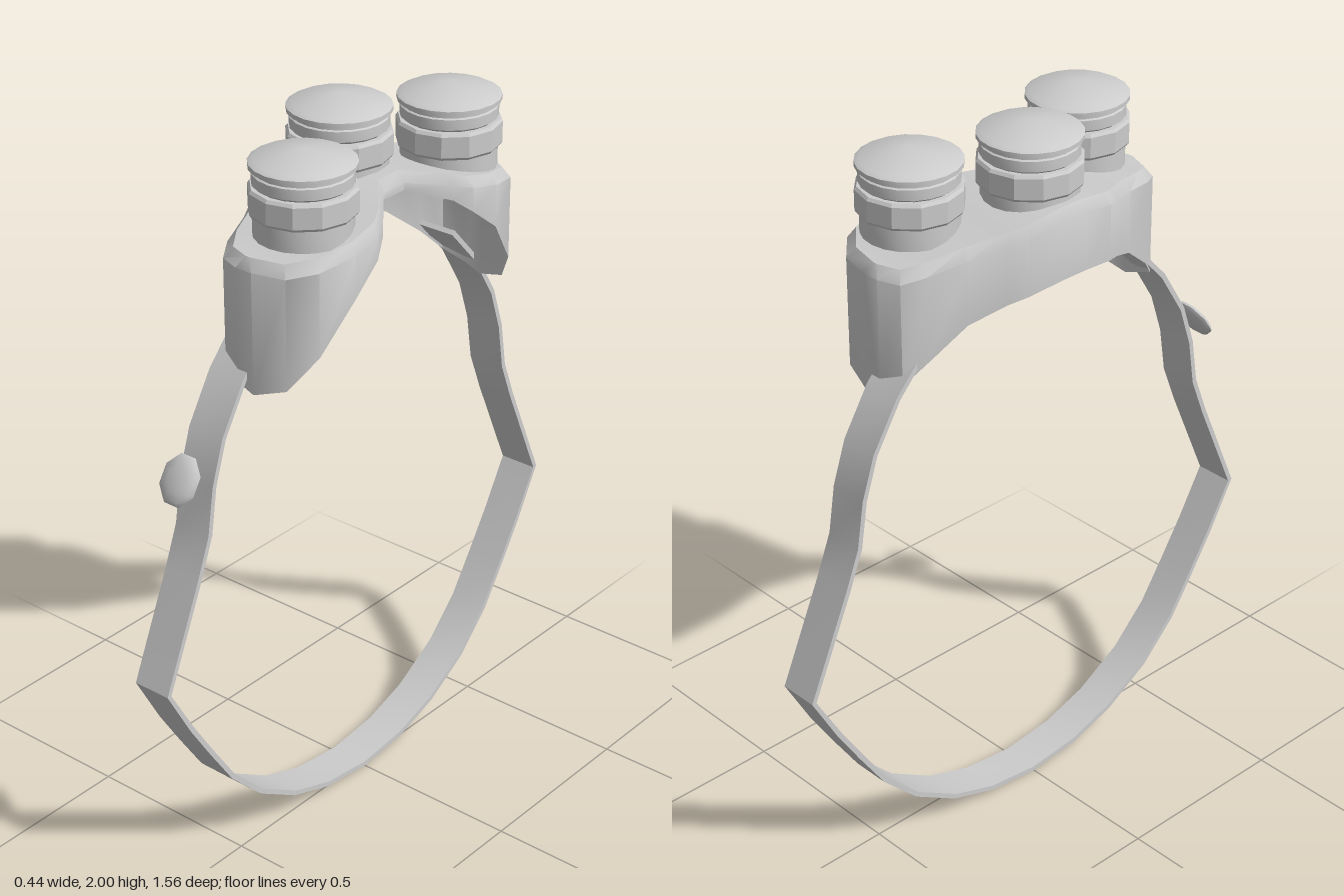
import * as THREE from 'three';
import { toCreasedNormals } from 'three/addons/utils/BufferGeometryUtils.js';

const grey = new THREE.MeshStandardMaterial({ color: 0xcccccc, side: THREE.DoubleSide });
grey.name = 'light grey';

function part(name, geometry, crease = 0.6) {
  const mesh = new THREE.Mesh(toCreasedNormals(geometry, crease), grey);
  mesh.name = name;
  return mesh;
}

// Hollow housing, open below: cross-sections lofted along z
function housing() {
  // z, back x, face x, back lower edge, face lower edge, shoulder height
  const half = [
    [0.457, -0.01, 0.04, 1.39, 1.37, 1.70],
    [0.435, -0.07, 0.13, 1.42, 1.40, 1.70],
    [0.38, -0.105, 0.19, 1.48, 1.49, 1.715],
    [0.28, -0.14, 0.22, 1.56, 1.62, 1.735],
    [0.19, -0.185, 0.215, 1.60, 1.69, 1.755],
    [0.14, -0.21, 0.19, 1.615, 1.73, 1.77],
    [0.04, -0.225, 0.11, 1.63, 1.77, 1.79],
  ];
  const stations = [...half.map(([z, ...r]) => [-z, ...r]), ...half.slice().reverse()];
  const sections = stations.map(([z, xl, xr, yl, yr, y]) => [
    [xl, yl, z], [xl, y, z], [xl + 0.018, y + 0.03, z * 0.96],
    [xr - 0.018, y + 0.03, z * 0.96], [xr, y, z], [xr, yr, z],
  ]);
  const pos = [];
  const quad = (a, b, c, d) => pos.push(...a, ...b, ...c, ...a, ...c, ...d);
  for (let i = 0; i < sections.length - 1; i++) {
    const s = sections[i], t = sections[i + 1];
    for (let j = 0; j < 5; j++) quad(s[j], t[j], t[j + 1], s[j + 1]);
  }
  const s = sections[0], e = sections[sections.length - 1];
  quad(s[0], s[1], s[4], s[5]);
  quad(s[1], s[2], s[3], s[4]);
  quad(e[0], e[5], e[4], e[1]);
  quad(e[1], e[4], e[3], e[2]);
  const g = new THREE.BufferGeometry();
  g.setAttribute('position', new THREE.Float32BufferAttribute(pos, 3));
  g.computeVertexNormals();
  return part('housing', g, 0.65);
}

// Head strap: a thin band following a mirrored path, its ends inside the housing
function strap() {
  const half = [
    [0.16, 0.018], [0.30, 0.065], [0.44, 0.15], [0.55, 0.26], [0.63, 0.38], [0.70, 0.49],
    [0.78, 0.635], [0.655, 0.92], [0.612, 1.03], [0.592, 1.16], [0.552, 1.28],
    [0.472, 1.41], [0.37, 1.52],
  ];
  const path = [...half.slice().reverse().map(([z, y]) => [-z, y]), [0, 0], ...half]
    .map(([z, y]) => new THREE.Vector2(z, y));
  const inner = path.map((p, i) => {
    const a = path[Math.max(i - 1, 0)], b = path[Math.min(i + 1, path.length - 1)];
    const d = b.clone().sub(a).normalize();
    return new THREE.Vector2(p.x - d.y * 0.014, p.y + d.x * 0.014);
  });
  const g = new THREE.ExtrudeGeometry(new THREE.Shape([...path, ...inner.reverse()]),
    { depth: 0.11, bevelEnabled: false });
  g.rotateY(Math.PI / 2);
  g.translate(-0.09, 0, 0);
  return part('headStrap', g, 0.5);
}

// Eyepiece: turned barrel and shallow conical cap, with a faceted grip ring
function eyepiece(x, y, z) {
  const group = new THREE.Group();
  group.name = 'eyepiece';
  const lathe = (points, sides) =>
    new THREE.LatheGeometry(points.map(([r, h]) => new THREE.Vector2(r, h)), sides);
  group.add(part('barrel', lathe([
    [0, 0], [0.126, 0], [0.126, 0.06], [0.118, 0.065], [0.118, 0.13], [0.127, 0.137],
    [0.127, 0.165], [0.122, 0.168], [0.122, 0.173], [0.135, 0.178], [0.135, 0.19],
    [0.122, 0.197], [0, 0.222],
  ], 20), 0.5));
  group.add(part('gripRing', lathe([
    [0.115, 0.058], [0.132, 0.058], [0.138, 0.066], [0.138, 0.122], [0.132, 0.13], [0.115, 0.13],
  ], 12), 0.3));
  group.position.set(x, y, z);
  return group;
}

// Small domed button standing off the strap
function button() {
  const g = new THREE.SphereGeometry(1, 8, 6);
  g.rotateY(Math.PI / 8);
  g.scale(0.062, 0.018, 0.07);
  const mesh = part('strapButton', g, 0.7);
  mesh.position.set(-0.035, 1.187, 0.65);
  mesh.rotation.x = Math.atan2(0.12, 0.075);
  return mesh;
}

export function createModel() {
  const model = new THREE.Group();
  model.name = 'headsetGoggles';
  model.add(housing(), strap(), button());
  model.add(eyepiece(-0.065, 1.778, 0));
  for (const side of [-1, 1]) model.add(eyepiece(0.06, 1.753, side * 0.285));
  return model;
}
